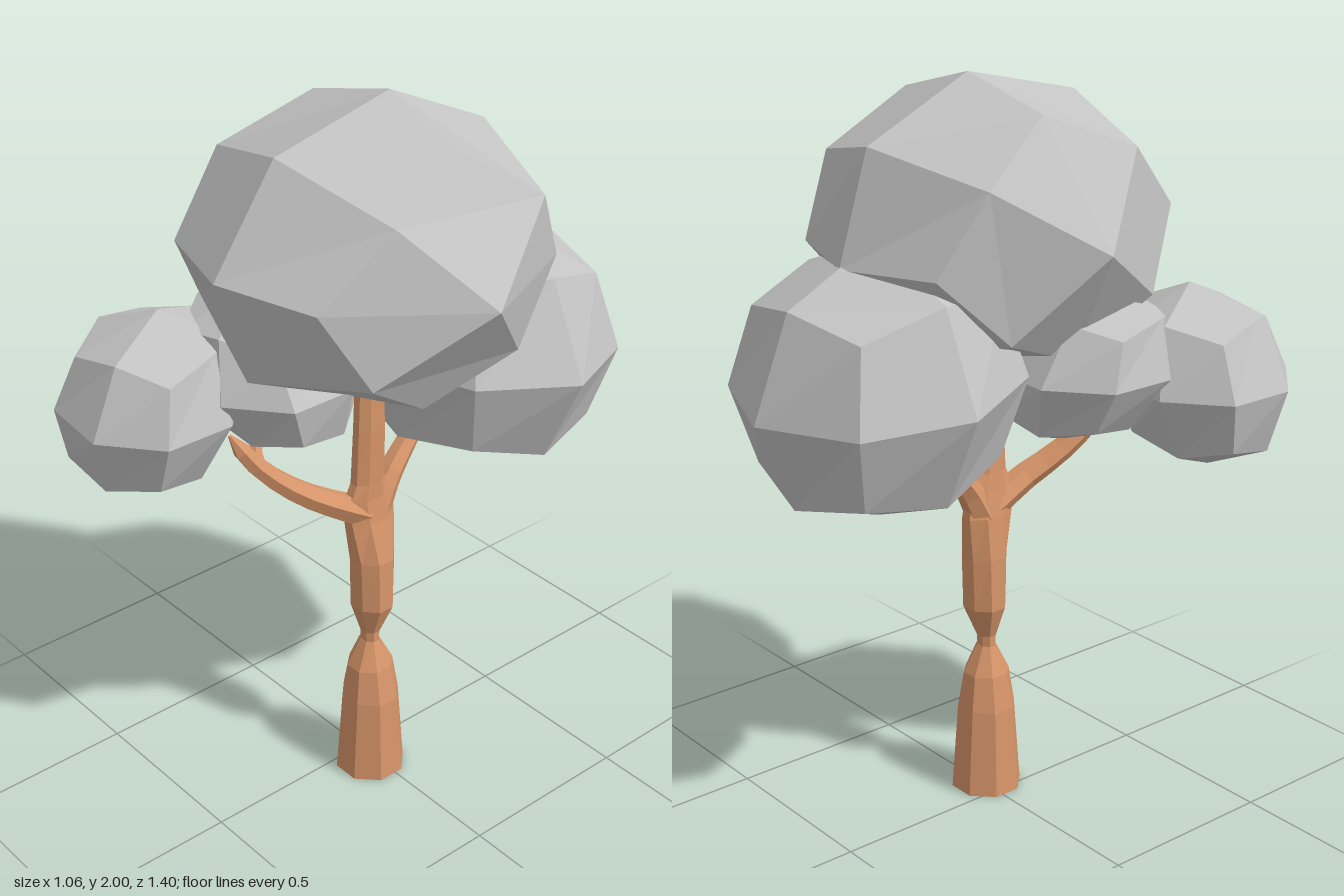
import * as THREE from 'three';

const bark = new THREE.MeshStandardMaterial({ color: 0xd8966a, flatShading: true });
bark.name = 'bark brown';
const leaf = new THREE.MeshStandardMaterial({ color: 0xc4c4c4, flatShading: true });
leaf.name = 'leaf grey';
const V = (p) => new THREE.Vector3(...p);

// Faceted leaf clump: a 24-face cube sphere, stretched along three axis vectors
function clump(name, centre, ax, ay, az) {
  const geo = new THREE.BoxGeometry(2, 2, 2, 2, 2, 2);
  const pos = geo.attributes.position;
  const v = new THREE.Vector3();
  for (let i = 0; i < pos.count; i++) {
    v.fromBufferAttribute(pos, i).normalize();
    pos.setXYZ(i, v.x, v.y, v.z);
  }
  geo.applyMatrix4(new THREE.Matrix4().makeBasis(V(ax), V(ay), V(az)).setPosition(V(centre)));
  geo.computeVertexNormals();
  const mesh = new THREE.Mesh(geo, leaf);
  mesh.name = name;
  return mesh;
}

// Eight-sided trunk; each ring is [y, centre x, centre z, half width x, half width z]
function trunk(rings) {
  const n = rings.length - 1;
  const geo = new THREE.CylinderGeometry(1, 1, 1, 8, n);
  geo.rotateY(Math.PI / 8);
  const pos = geo.attributes.position;
  const k = 1 / Math.cos(Math.PI / 8);
  for (let i = 0; i < pos.count; i++) {
    const [y, cx, cz, rx, rz] = rings[Math.round((pos.getY(i) + 0.5) * n)];
    pos.setXYZ(i, cx + pos.getX(i) * rx * k, y, cz + pos.getZ(i) * rz * k);
  }
  geo.computeVertexNormals();
  const mesh = new THREE.Mesh(geo, bark);
  mesh.name = 'trunk';
  return mesh;
}

// Tapered branch along a smooth path, closed to a blunt point at the tip
function branch(name, points, r0, r1) {
  const curve = new THREE.CatmullRomCurve3(points.map(V));
  const segs = 8, sides = 6;
  const geo = new THREE.TubeGeometry(curve, segs, 1, sides);
  const pos = geo.attributes.position;
  const v = new THREE.Vector3();
  for (let i = 0; i < pos.count; i++) {
    const ring = Math.floor(i / (sides + 1));
    const c = curve.getPointAt(ring / segs);
    const r = ring === segs ? 0.004 : r0 + (r1 - r0) * ring / segs;
    v.fromBufferAttribute(pos, i).sub(c).multiplyScalar(r).add(c);
    pos.setXYZ(i, v.x, v.y, v.z);
  }
  geo.computeVertexNormals();
  const mesh = new THREE.Mesh(geo, bark);
  mesh.name = name;
  return mesh;
}

export function createModel() {
  const tree = new THREE.Group();
  tree.name = 'tree';

  // Trunk with a pinched waist and a flare where the branches leave
  tree.add(trunk([
    [0, 0.062, 0.015, 0.092, 0.091],
    [0.25, 0.062, 0.015, 0.077, 0.074],
    [0.35, 0.061, 0.015, 0.058, 0.06],
    [0.43, 0.06, 0.015, 0.028, 0.022],
    [0.46, 0.06, 0.015, 0.028, 0.024],
    [0.55, 0.062, 0.01, 0.06, 0.054],
    [0.7, 0.06, 0.008, 0.058, 0.058],
    [0.82, 0.05, 0.01, 0.04, 0.072],
    [0.89, 0.052, 0.018, 0.032, 0.07],
    [0.94, 0.055, 0.02, 0.03, 0.048],
    [1.1, 0.062, 0.022, 0.028, 0.044],
    [1.32, 0.068, 0.025, 0.025, 0.038],
  ]));

  // Branches
  tree.add(branch('frontBranch',
    [[0.05, 0.84, 0.03], [0.035, 0.9, 0.13], [0, 0.96, 0.22], [-0.04, 1.05, 0.31], [-0.07, 1.15, 0.37]],
    0.042, 0.022));
  tree.add(branch('frontTwig',
    [[-0.035, 1.04, 0.3], [-0.055, 1.08, 0.3], [-0.075, 1.12, 0.275]], 0.02, 0.018));
  tree.add(branch('backBranch',
    [[0.05, 0.82, -0.01], [0.045, 0.91, -0.06], [0.035, 0.99, -0.135], [0.025, 1.08, -0.22]],
    0.042, 0.022));

  // Leaf clumps
  tree.add(clump('topLeaves', [0.065, 1.61, 0.03],
    [0.465, 0, 0], [0, 0.24, -0.378], [0, 0.308, 0.283]));
  tree.add(clump('backLeaves', [0.063, 1.26, -0.335],
    [0.4, 0, 0], [0, 0.36, 0], [0, 0.04, 0.365]));
  tree.add(clump('frontLeaves', [-0.28, 1.2, 0.458],
    [0.25, 0, -0.07], [0.02, 0.25, -0.025], [0.1, 0, 0.24]));
  tree.add(clump('middleLeaves', [-0.145, 1.255, 0.175],
    [0.245, 0, -0.07], [-0.04, 0.21, 0.035], [0.1, 0, 0.235]));

  return tree;
}
